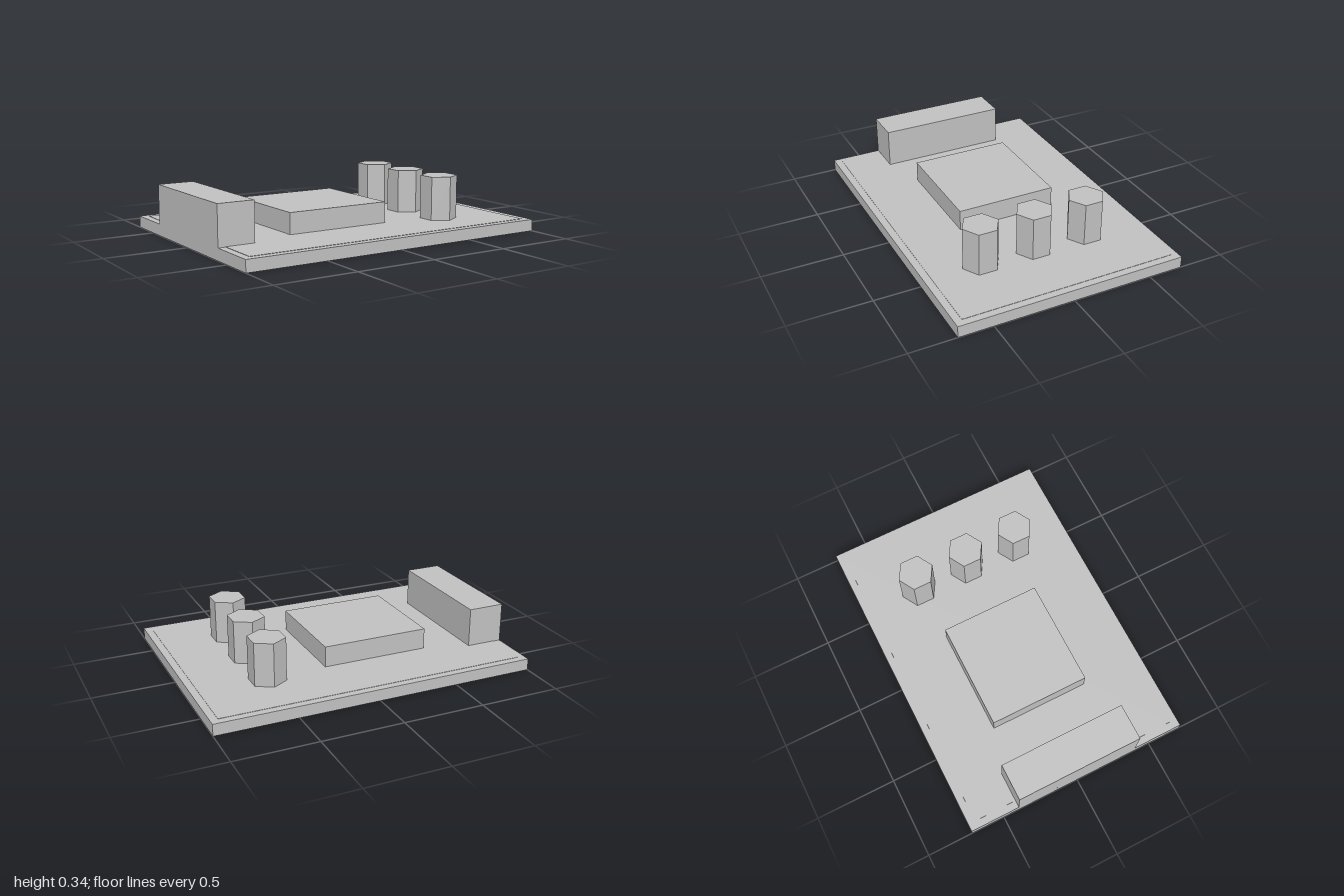
import * as THREE from 'three';

const grey = new THREE.MeshStandardMaterial({ color: 0xc0c0c0 });
grey.name = 'grey';

const BOARD_TOP = 0.072;

export function createModel() {
  const model = new THREE.Group();
  model.name = 'circuitBoard';

  const add = (name, geometry, x, y, z) => {
    const mesh = new THREE.Mesh(geometry, grey);
    mesh.name = name;
    mesh.position.set(x, y, z);
    model.add(mesh);
  };

  // Box given by its size, standing on the height "base"
  const box = (name, w, h, d, x, base, z) =>
    add(name, new THREE.BoxGeometry(w, h, d), x, base + h / 2, z);

  // Board with a very thin inset layer on top
  box('board', 2, BOARD_TOP, 1.428, 0, 0, 0);
  box('boardSurface', 1.91, 0.002, 1.338, 0, BOARD_TOP, 0);

  // Main chip and edge connector
  box('chip', 0.668, 0.131, 0.626, -0.167, BOARD_TOP, -0.002);
  box('connector', 0.227, 0.243, 0.796, -0.8865, BOARD_TOP, -0.002);

  // Row of hexagonal capacitors, corners pointing along z
  const height = 0.343 - BOARD_TOP;
  const hexagon = new THREE.CylinderGeometry(0.114, 0.114, height, 6).toNonIndexed();
  hexagon.computeVertexNormals();
  for (let i = 0; i < 3; i++) {
    add(`capacitor${i + 1}`, hexagon, 0.541, BOARD_TOP + height / 2, -0.329 + i * 0.343);
  }

  return model;
}
